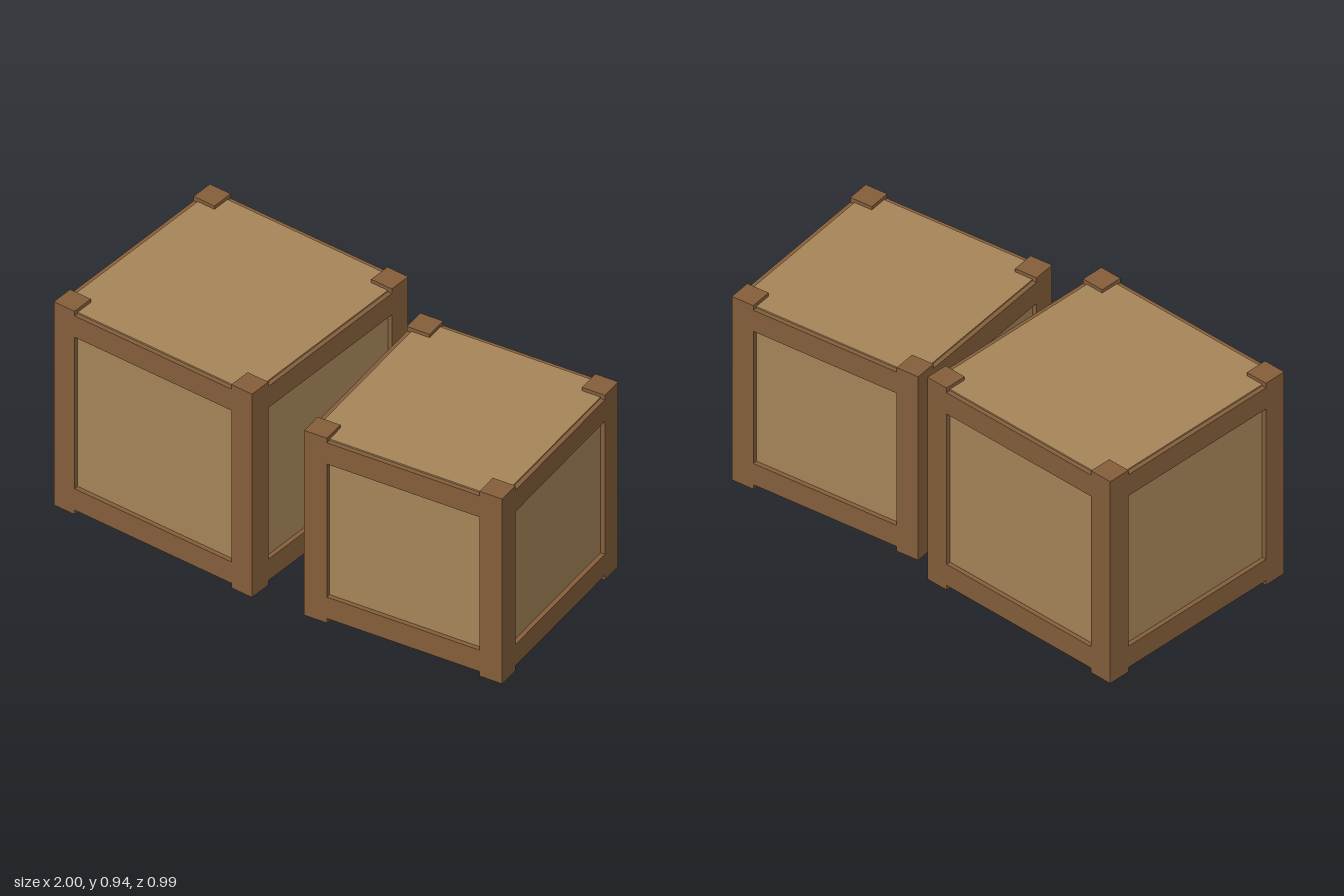
import * as THREE from 'three';

const frameMat = new THREE.MeshStandardMaterial({ color: 0x87603c });
const panelMat = new THREE.MeshStandardMaterial({ color: 0xa8875a });

const BEAM = 0.098;       // thickness of posts and rails
const RAIL_INSET = 0.021; // rails stop short of the post ends
const SIDE_INSET = 0.019; // recess of the side panels
const CAP_INSET = 0.015;  // recess of the lid and base

function addBox(parent, name, material, size, position) {
  const mesh = new THREE.Mesh(new THREE.BoxGeometry(...size), material);
  mesh.name = name;
  mesh.position.set(...position);
  parent.add(mesh);
}

// Cubic crate standing on y = 0
function createCrate(name, size) {
  const crate = new THREE.Group();
  crate.name = name;
  const edge = size / 2 - BEAM / 2;
  const railLength = size - 2 * BEAM;

  // Panelled body
  const width = size - 2 * SIDE_INSET;
  addBox(crate, 'panelBody', panelMat, [width, size - 2 * CAP_INSET, width], [0, size / 2, 0]);

  // Corner posts
  for (const x of [-edge, edge]) {
    for (const z of [-edge, edge]) {
      addBox(crate, 'cornerPost', frameMat, [BEAM, size, BEAM], [x, size / 2, z]);
    }
  }

  // Lower and upper rails on all four sides, flush with the posts
  const railOffset = RAIL_INSET + BEAM / 2;
  for (const y of [railOffset, size - railOffset]) {
    for (const s of [-edge, edge]) {
      addBox(crate, 'rail', frameMat, [railLength, BEAM, BEAM], [0, y, s]);
      addBox(crate, 'sideRail', frameMat, [BEAM, BEAM, railLength], [s, y, 0]);
    }
  }
  return crate;
}

export function createModel() {
  const model = new THREE.Group();
  model.name = 'crates';

  const large = createCrate('largeCrate', 0.935);
  large.position.set(-0.5325, 0, 0.0275);

  const small = createCrate('smallCrate', 0.85);
  small.position.set(0.518, 0, -0.017);
  small.rotation.y = 0.137;

  model.add(large, small);
  return model;
}
